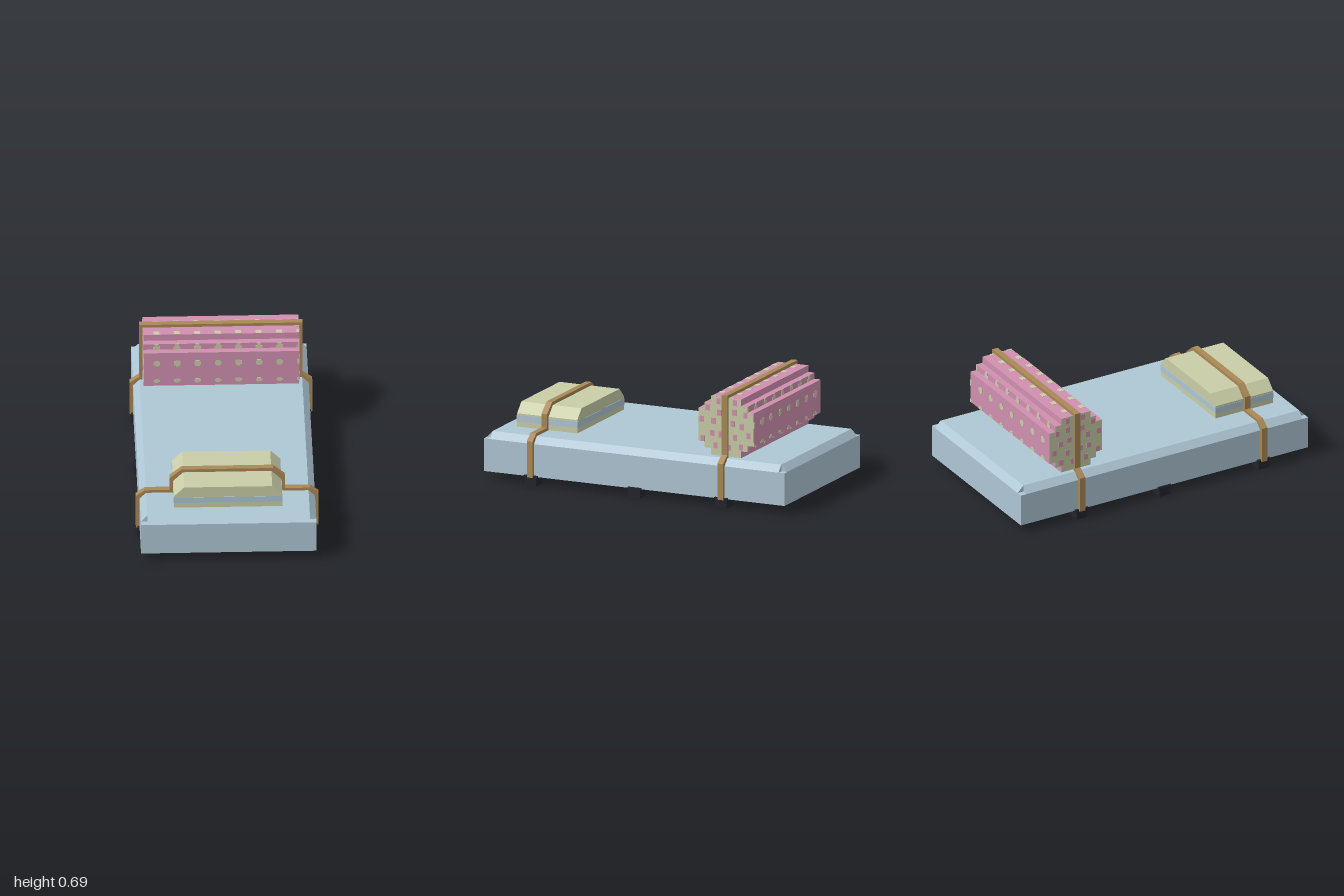
import * as THREE from 'three';

const mat = (name, color) => {
  const m = new THREE.MeshStandardMaterial({ color });
  m.name = name;
  return m;
};

export function createModel() {
  const blue = mat('mattress blue', 0xaec6d4);
  const pink = mat('roll pink', 0xd090b0);
  const cream = mat('pale green', 0xc9cda6);
  const brown = mat('strap brown', 0xa98856);
  const dark = mat('frame black', 0x23232e);
  const model = new THREE.Group();

  const add = (name, geometry, material, parent = model) => {
    const mesh = new THREE.Mesh(geometry, material);
    mesh.name = name;
    parent.add(mesh);
    return mesh;
  };
  // Box given by its limits on each axis
  const box = (name, [x0, x1], [y0, y1], [z0, z1], material, parent) => {
    const m = add(name, new THREE.BoxGeometry(x1 - x0, y1 - y0, z1 - z0), material, parent);
    m.position.set((x0 + x1) / 2, (y0 + y1) / 2, (z0 + z1) / 2);
    return m;
  };
  // Outline extruded along z, centred on z = 0
  const prism = (points, depth) => {
    const shape = new THREE.Shape(points.map(([x, y]) => new THREE.Vector2(x, y)));
    return new THREE.ExtrudeGeometry(shape, { depth, bevelEnabled: false }).translate(0, 0, -depth / 2);
  };
  const mirrorX = (half) => [...half, ...half.map(([x, y]) => [-x, y]).reverse()];

  // Mattress: block, raised top and end bevels that leave the corners notched
  const mattress = new THREE.Group();
  mattress.name = 'mattress';
  model.add(mattress);
  box('mattressBase', [-0.527, 0.527], [0.055, 0.257], [-1, 1], blue, mattress);
  add('mattressTop', prism(mirrorX([[0.527, 0.257], [0.488, 0.298]]), 1.92), blue, mattress);
  for (const s of [1, -1]) {
    const bevel = add('endBevel', prism([[0, 0], [0.04, 0], [0, 0.041]], 0.976), blue, mattress);
    bevel.rotation.y = -s * Math.PI / 2;
    bevel.position.set(0, 0.257, s * 0.96);
  }

  // Bed frame: three cross rails with feet
  for (const z of [0.685, -0.005, -0.582]) {
    box('crossRail', [-0.47, 0.47], [0.024, 0.056], [z - 0.024, z + 0.024], dark);
    for (const s of [1, -1]) {
      const foot = box('foot', [-0.04, 0.04], [0, 0.058], [z - 0.039, z + 0.039], dark);
      foot.position.x = s * 0.5;
      const lip = box('footLip', [-0.04, 0.04], [0.05, 0.063], [z - 0.044, z + 0.044], dark);
      lip.position.x = s * 0.5;
    }
  }

  // Pillow with a blue band
  const pillow = add('pillow', prism(mirrorX([[0.325, 0.298], [0.325, 0.38], [0.265, 0.44]]), 0.4), cream);
  pillow.position.z = 0.675;
  box('pillowBand', [-0.327, 0.327], [0.331, 0.37], [0.473, 0.877], blue);

  // Rolled blanket with a stepped outline, running along x
  const roll = new THREE.Group();
  roll.name = 'blanketRoll';
  roll.position.set(0, 0.485, -0.583);
  model.add(roll);
  const quarter = [[0.183, 0.102], [0.142, 0.102], [0.142, 0.14], [0.101, 0.14], [0.101, 0.181]];
  const right = [...quarter.map(([x, y]) => [x, -y]).reverse(), ...quarter];
  const body = add('rollBody', prism(mirrorX(right), 0.936), [cream, pink], roll);
  body.rotation.y = Math.PI / 2;

  // Dots along the roll, cut off at its end
  const t = 0.002;
  const xs = Array.from({ length: 8 }, (_, i) => -0.39 + i * 0.123);
  const span = (x, w) => [x - w / 2, Math.min(x + w / 2, 0.468)];
  // [face depth, y low, y high, width]
  const sidePatches = [
    [0.183, 0.008, 0.048, 0.024], [0.183, 0.016, 0.04, 0.04],
    [0.183, -0.102, -0.088, 0.04], [0.183, -0.088, -0.08, 0.024],
    [0.142, -0.122, -0.102, 0.04], [0.142, -0.134, -0.122, 0.024],
    [0.142, 0.102, 0.122, 0.04], [0.142, 0.122, 0.14, 0.024],
  ];
  for (const x of xs) {
    for (const s of [1, -1])
      for (const [d, y0, y1, w] of sidePatches)
        box('rollDot', span(x, w), [y0, y1], [s * d - t, s * d + t], cream, roll);
    for (const [z0, z1, w] of [[-0.052, -0.02, 0.036], [0.067, 0.1, 0.036]])
      box('rollTopDot', span(x, w), [0.181 - t, 0.181 + t], [z0, z1], cream, roll);
  }

  // Pink spots on both ends of the roll: [z, y]
  const spots = [
    [0.05, 0.155], [-0.06, 0.155], [0.12, 0.11], [0.045, 0.085], [-0.055, 0.095], [-0.13, 0.085],
    [0.16, 0.035], [0.085, 0.03], [-0.045, 0.025], [-0.105, 0.01], [0.09, -0.045], [0.035, -0.05],
    [-0.06, -0.06], [-0.15, -0.04], [0.155, -0.085], [0.07, -0.12], [-0.02, -0.125], [-0.1, -0.115],
  ];
  for (const s of [1, -1])
    for (const [z, y] of spots)
      box('rollEndSpot', [s * 0.468 - t, s * 0.468 + t], [y - 0.018, y + 0.018], [z - 0.014, z + 0.014], pink, roll);

  // Straps: inner and outer edge of the +x half, from the foot up to the middle
  const strap = (name, outer, inner, z) => {
    const full = [...mirrorX(outer), ...mirrorX(inner).reverse()];
    add(name, prism(full, 0.038), brown).position.z = z;
  };
  strap('pillowStrap',
    [[0.549, 0.052], [0.549, 0.276], [0.496, 0.316], [0.346, 0.316], [0.346, 0.4], [0.274, 0.46]],
    [[0.527, 0.052], [0.527, 0.259], [0.488, 0.298], [0.325, 0.298], [0.325, 0.38], [0.265, 0.44]], 0.685);
  strap('rollStrap',
    [[0.549, 0.052], [0.549, 0.276], [0.49, 0.318], [0.49, 0.685]],
    [[0.527, 0.052], [0.527, 0.259], [0.471, 0.298], [0.471, 0.666]], -0.583);

  return model;
}
